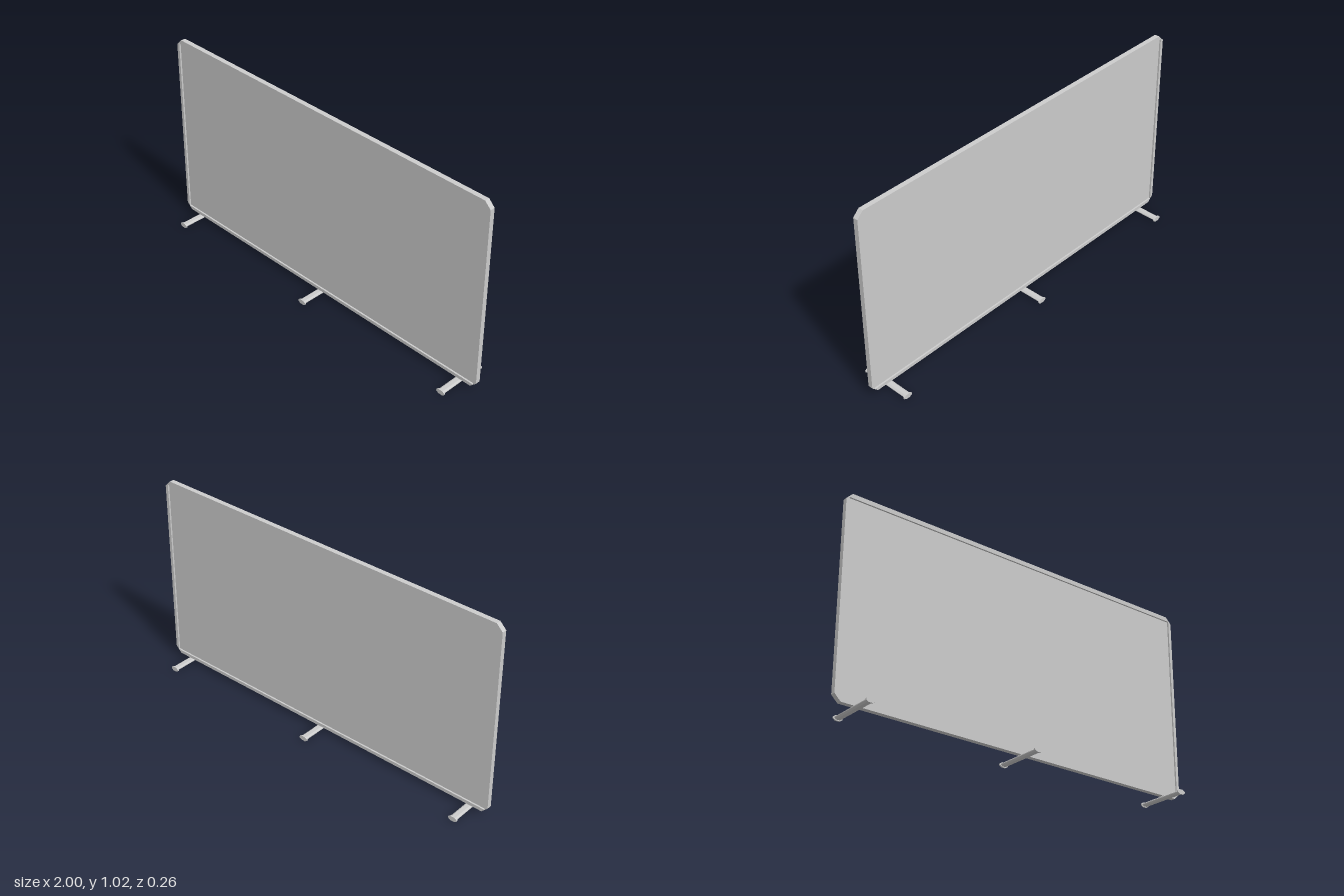
import * as THREE from 'three';

const grey = new THREE.MeshStandardMaterial({ color: 0xcccccc, flatShading: true });

function add(parent, name, geometry, x = 0, y = 0, z = 0) {
  const mesh = new THREE.Mesh(geometry, grey);
  mesh.name = name;
  mesh.position.set(x, y, z);
  parent.add(mesh);
  return mesh;
}

// Centred rectangle with cut corners
function cutRect(w, h, cx, cy = cx) {
  const a = w / 2, b = h / 2;
  return new THREE.Shape([
    [a, -b + cy], [a, b - cy], [a - cx, b], [-a + cx, b],
    [-a, b - cy], [-a, -b + cy], [-a + cx, -b], [a - cx, -b],
  ].map(([x, y]) => new THREE.Vector2(x, y)));
}

// Extrusion centred on z = 0
function prism(shape, depth) {
  return new THREE.ExtrudeGeometry(shape, { depth, bevelEnabled: false, steps: 1 })
    .translate(0, 0, -depth / 2);
}

export function createModel() {
  const model = new THREE.Group();
  model.name = 'partitionScreen';

  // Border frame with cut outer corners and a rectangular opening
  const bottom = 0.023, top = 1.025, midY = (bottom + top) / 2;
  const outline = cutRect(2, top - bottom, 0.032);
  const ix = 0.984, iy0 = 0.04 - midY, iy1 = 1.003 - midY;
  outline.holes.push(new THREE.Path([
    new THREE.Vector2(-ix, iy0), new THREE.Vector2(-ix, iy1),
    new THREE.Vector2(ix, iy1), new THREE.Vector2(ix, iy0),
  ]));
  add(model, 'frame', prism(outline, 0.025), 0, midY);

  // Thin recessed panel filling the opening
  add(model, 'panel', new THREE.BoxGeometry(2 * ix, iy1 - iy0, 0.008), 0, midY + (iy0 + iy1) / 2);

  // Three crossbar feet with bevelled bars and wider end caps
  for (const x of [-0.895, 0, 0.895]) {
    const foot = new THREE.Group();
    foot.name = 'foot';
    foot.position.x = x;
    add(foot, 'footBar', prism(cutRect(0.036, 0.016, 0.008, 0.006), 0.25), 0, 0.012);
    add(foot, 'footMount', new THREE.BoxGeometry(0.02, 0.008, 0.02), 0, 0.021);
    for (const side of [-1, 1]) {
      add(foot, 'footCap', prism(cutRect(0.046, 0.024, 0.012, 0.008), 0.007), 0, 0.012, side * 0.1265);
    }
    model.add(foot);
  }
  return model;
}
